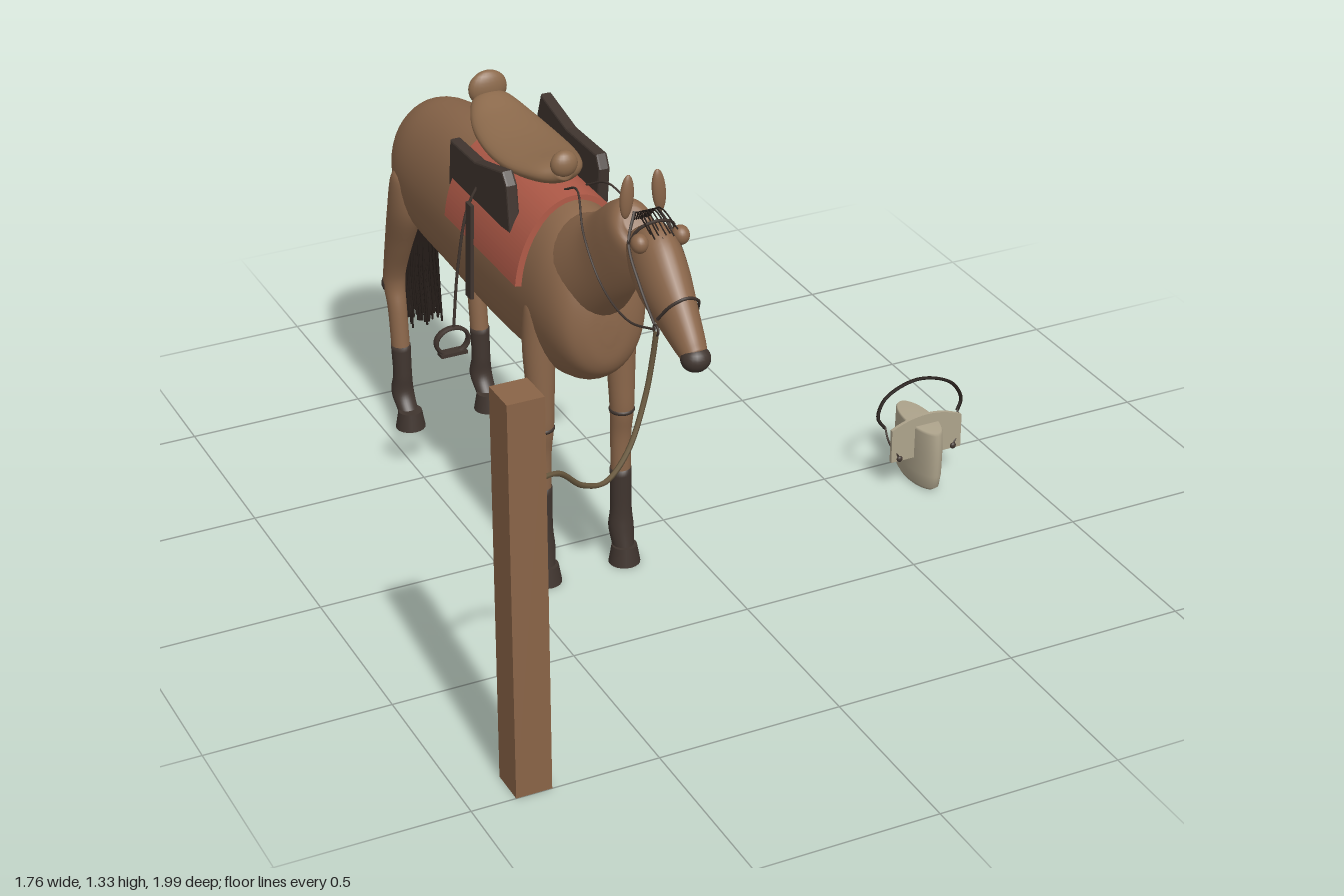
import * as THREE from 'three';

const mat = (name, color) => Object.assign(new THREE.MeshStandardMaterial({ color }), { name });
const COAT = mat('coat brown', 0x8a664a);
const SADDLE = mat('saddle tan', 0x8c6a4c);
const WOOD = mat('post wood', 0x8a6447);
const DARK = mat('dark leather', 0x40352f);
const HAIR = mat('black hair', 0x241c18);
const RED = mat('blanket red', 0xb05a48);
const CANVAS = mat('bucket canvas', 0xaea48c);
const ROPE = mat('rope', 0x6a5a40);

const V = (x, y, z) => new THREE.Vector3(x, y, z);

function add(parent, name, geometry, material, x = 0, y = 0, z = 0) {
  const m = new THREE.Mesh(geometry, material);
  m.name = name;
  m.position.set(x, y, z);
  parent.add(m);
  return m;
}

function ball(parent, name, material, x, y, z, rx, ry, rz) {
  const m = add(parent, name, new THREE.SphereGeometry(1, 20, 14), material, x, y, z);
  m.scale.set(rx, ry, rz);
  return m;
}

function tube(parent, name, material, pts, r, seg = 24) {
  const curve = new THREE.CatmullRomCurve3(pts.map(p => V(...p)));
  return add(parent, name, new THREE.TubeGeometry(curve, seg, r, 6), material);
}

// Smooth skin over elliptical rings [y, z, rx, rn]; rings follow the path unless an axis is fixed
function loft(rows, axis = null, steps = 36, n = 32) {
  const path = new THREE.CatmullRomCurve3(rows.map(r => V(0, r[0], r[1])), false, 'catmullrom', 0.5);
  const size = new THREE.CatmullRomCurve3(rows.map(r => V(r[2], r[3], 0)), false, 'catmullrom', 0.5);
  const X = V(1, 0, 0), pos = [], idx = [];
  for (let i = 0; i <= steps; i++) {
    const c = path.getPoint(i / steps), s = size.getPoint(i / steps);
    const N = (axis || path.getTangent(i / steps)).clone().cross(X);
    for (let j = 0; j < n; j++) {
      const a = j / n * Math.PI * 2;
      const p = c.clone().addScaledVector(X, Math.cos(a) * s.x).addScaledVector(N, Math.sin(a) * s.y);
      pos.push(p.x, p.y, p.z);
    }
  }
  for (let i = 0; i < steps; i++) for (let j = 0; j < n; j++) {
    const k = (j + 1) % n, a = i * n + j, b = i * n + k;
    idx.push(a, b, b + n, a, b + n, a + n);
  }
  for (let j = 1; j < n - 1; j++) {
    const e = steps * n;
    idx.push(0, j + 1, j, e, e + j, e + j + 1);
  }
  const g = new THREE.BufferGeometry();
  g.setAttribute('position', new THREE.Float32BufferAttribute(pos, 3));
  g.setIndex(idx);
  g.computeVertexNormals();
  return g;
}

function group(parent, name, x = 0, y = 0, z = 0) {
  const g = new THREE.Group();
  g.name = name;
  g.position.set(x, y, z);
  parent.add(g);
  return g;
}

function buildLeg(horse, name, x, upper, lower, joint, hoofZ) {
  const leg = group(horse, name, x);
  const down = V(0, -1, 0);
  add(leg, 'upperLeg', loft(upper, down), COAT);
  add(leg, 'legWrap', loft(lower, down, 20), DARK);
  ball(leg, 'jointPatch', DARK, 0, ...joint);
  add(leg, 'hoof', new THREE.CylinderGeometry(0.034, 0.043, 0.052, 20), DARK, 0, 0.026, hoofZ);
}

function buildHorse(root) {
  const horse = group(root, 'horse', -0.3);
  add(horse, 'body', loft([
    [0.80, 0.308, 0.02, 0.03], [0.80, 0.30, 0.07, 0.10], [0.82, 0.27, 0.115, 0.165],
    [0.832, 0.2, 0.14, 0.217], [0.835, 0.08, 0.15, 0.245], [0.825, -0.2, 0.155, 0.25],
    [0.825, -0.5, 0.157, 0.235], [0.815, -0.7, 0.155, 0.215], [0.81, -0.8, 0.142, 0.192],
    [0.83, -0.85, 0.115, 0.135], [0.83, -0.866, 0.06, 0.06]], V(0, 0, -1), 60, 40), COAT);
  add(horse, 'neck', loft([[0.86, 0.12, 0.12, 0.13], [0.92, 0.18, 0.118, 0.142], [1.02, 0.31, 0.082, 0.115],
    [1.12, 0.405, 0.066, 0.092], [1.165, 0.445, 0.055, 0.07], [1.18, 0.462, 0.03, 0.035]]), COAT);

  // Head with muzzle, eyes and ears
  add(horse, 'head', loft([[1.17, 0.495, 0.03, 0.03], [1.155, 0.515, 0.05, 0.07], [1.13, 0.56, 0.062, 0.096],
    [1.08, 0.62, 0.062, 0.092], [1.03, 0.69, 0.05, 0.07], [0.98, 0.76, 0.038, 0.045],
    [0.96, 0.79, 0.03, 0.03]]), COAT);
  ball(horse, 'muzzle', DARK, 0, 0.958, 0.788, 0.038, 0.033, 0.035);
  for (const s of [-1, 1]) {
    ball(horse, 'eye', COAT, s * 0.055, 1.19, 0.595, 0.022, 0.025, 0.024);
    const ear = ball(horse, 'ear', COAT, s * 0.043, 1.27, 0.5, 0.018, 0.058, 0.012);
    ear.rotation.z = s * 0.08;
  }

  // Legs
  for (const s of [-1, 1]) {
    buildLeg(horse, 'frontLeg', s * 0.115, [[0.84, 0.12, 0.015, 0.015], [0.81, 0.12, 0.036, 0.038],
      [0.7, 0.12, 0.043, 0.042], [0.55, 0.128, 0.036, 0.035], [0.46, 0.13, 0.032, 0.032],
      [0.38, 0.122, 0.028, 0.027], [0.26, 0.12, 0.027, 0.026]],
      [[0.28, 0.12, 0.029, 0.028], [0.16, 0.12, 0.029, 0.028], [0.1, 0.12, 0.034, 0.034],
        [0.04, 0.135, 0.028, 0.03]], [0.462, 0.13, 0.035, 0.015, 0.035], 0.14);
    buildLeg(horse, 'hindLeg', s * 0.122, [[0.83, -0.75, 0.02, 0.03], [0.8, -0.75, 0.04, 0.057],
      [0.7, -0.768, 0.045, 0.066], [0.58, -0.82, 0.037, 0.053], [0.48, -0.86, 0.032, 0.038],
      [0.42, -0.872, 0.031, 0.034], [0.35, -0.855, 0.027, 0.029], [0.21, -0.838, 0.026, 0.027]],
      [[0.24, -0.84, 0.028, 0.029], [0.15, -0.835, 0.027, 0.026], [0.09, -0.84, 0.032, 0.033],
        [0.04, -0.8, 0.028, 0.03]], [0.42, -0.88, 0.034, 0.034, 0.03], -0.787);
  }

  // Tail: fanned strands over a tapering dock
  let seed = 7;
  const rand = () => (seed = (seed * 16807) % 2147483647) / 2147483647;
  const tail = group(horse, 'tail');
  add(tail, 'dock', loft([[0.785, -0.86, 0.018, 0.012], [0.76, -0.915, 0.028, 0.016],
    [0.65, -0.955, 0.042, 0.016], [0.5, -0.975, 0.046, 0.012], [0.4, -0.975, 0.03, 0.004]]), HAIR);
  for (let i = 0; i < 44; i++) {
    const x = -0.058 + 0.116 * i / 43, d = (rand() - 0.5) * 0.022;
    tube(tail, 'tailStrand', HAIR, [[x * 0.35, 0.785, -0.87], [x * 0.55, 0.755, -0.92 + d * 0.5],
      [x * 0.9, 0.58, -0.97 + d], [x, 0.4, -0.977 + d], [x + d * 0.3, 0.21 + rand() * 0.08, -0.962]], 0.0032, 16);
  }
  // Forelock
  for (let i = 0; i < 8; i++) {
    const x = -0.03 + i * 0.0086;
    tube(horse, 'forelock', HAIR, [[x * 0.6, 1.2, 0.49], [x, 1.24, 0.53], [x * 1.2, 1.2 + rand() * 0.02, 0.62]], 0.002, 8);
  }
  return horse;
}

function buildTack(horse) {
  // Saddle blanket wrapped over the back
  const a = 0.14, sheet = new THREE.Shape();
  sheet.absellipse(0, 0, 0.17, 0.258, a, Math.PI - a, false);
  sheet.absellipse(0, 0, 0.152, 0.24, Math.PI - a, a, true);
  add(horse, 'blanket', new THREE.ExtrudeGeometry(sheet, { depth: 0.46, bevelEnabled: false, curveSegments: 32 }),
    RED, 0, 0.834, -0.36);

  // Saddle seat, pommel and cantle
  add(horse, 'saddleSeat', loft([[1.135, 0.05, 0.02, 0.02], [1.12, 0, 0.07, 0.032], [1.107, -0.1, 0.1, 0.033],
    [1.104, -0.22, 0.105, 0.033], [1.115, -0.34, 0.09, 0.034], [1.14, -0.42, 0.06, 0.03],
    [1.15, -0.45, 0.03, 0.02]]), SADDLE);
  ball(horse, 'pommel', SADDLE, 0, 1.155, 0.04, 0.037, 0.036, 0.026);
  ball(horse, 'cantle', SADDLE, 0, 1.172, -0.445, 0.055, 0.05, 0.025);

  const flap = new THREE.Shape([[0, 0.98], [-0.385, 0.97], [-0.39, 1.0], [-0.36, 1.12], [-0.2, 1.105],
    [-0.02, 1.13], [0, 1.1]].map(p => new THREE.Vector2(-p[0], p[1] - 1.05)));
  for (const s of [-1, 1]) {
    // Flap
    const f = add(horse, 'saddleFlap', new THREE.ExtrudeGeometry(flap, {
      depth: 0.02, bevelSize: 0.005, bevelThickness: 0.006, bevelSegments: 2 }).translate(0, 0, -0.01),
      DARK, s * 0.127, 1.05, 0);
    f.rotation.set(0, Math.PI / 2, -s * -0.12);
    // Stirrup leather and hanging line
    const strap = add(horse, 'stirrupLeather', new THREE.BoxGeometry(0.01, 0.27, 0.034), DARK, s * 0.172, 0.845, -0.185);
    strap.rotation.z = s * 0.03;
    tube(horse, 'stirrupLine', DARK, [[s * 0.11, 1.06, -0.2], [s * 0.165, 0.97, -0.2], [s * 0.2, 0.8, -0.2],
      [s * 0.218, 0.62, -0.2]], 0.004);
    // Stirrup iron with tread
    const iron = add(horse, 'stirrupIron', new THREE.TorusGeometry(0.046, 0.006, 8, 28), DARK, s * 0.222, 0.582, -0.203);
    iron.scale.set(1, 0.82, 2);
    add(horse, 'stirrupTread', new THREE.BoxGeometry(0.075, 0.01, 0.03), DARK, s * 0.222, 0.547, -0.203);
    // Bridle cheek strap, bit ring and rein
    tube(horse, 'cheekStrap', DARK, [[s * 0.03, 1.235, 0.515], [s * 0.062, 1.17, 0.55], [s * 0.066, 1.09, 0.62],
      [s * 0.054, 1.0, 0.685]], 0.004);
    add(horse, 'bitRing', new THREE.TorusGeometry(0.013, 0.003, 6, 16), DARK, s * 0.056, 1.0, 0.687)
      .rotation.y = Math.PI / 2;
    tube(horse, 'rein', DARK, [[s * 0.056, 1.0, 0.687], [s * 0.075, 0.975, 0.57], [s * 0.085, 1.01, 0.45],
      [s * 0.08, 1.1, 0.33], [s * 0.045, 1.165, 0.22], [s * 0.03, 1.12, 0.11]], 0.003, 36);
  }
  // Brow band and nose band over the face
  tube(horse, 'browBand', DARK, [[-0.062, 1.17, 0.55], [-0.045, 1.215, 0.57], [0, 1.232, 0.58],
    [0.045, 1.215, 0.57], [0.062, 1.17, 0.55]], 0.004);
  tube(horse, 'noseBand', DARK, [[-0.054, 1.03, 0.69], [-0.035, 1.08, 0.728], [0, 1.096, 0.738],
    [0.035, 1.08, 0.728], [0.054, 1.03, 0.69]], 0.004);
}

function buildBucket(root) {
  const bucket = group(root, 'feedBucket', 0.743, 0, 0.095);
  // Flattened pail
  const profile = [[0, 0], [0.085, 0], [0.1, 0.012], [0.108, 0.05], [0.11, 0.12], [0.108, 0.18], [0.102, 0.187], [0, 0.187]];
  add(bucket, 'pail', new THREE.LatheGeometry(profile.map(p => new THREE.Vector2(...p)), 36), CANVAS).scale.x = 0.38;
  // Cross panel with an arched top
  const panel = new THREE.Shape();
  panel.moveTo(-0.11, 0.09);
  panel.lineTo(0.11, 0.09);
  panel.lineTo(0.11, 0.19);
  panel.quadraticCurveTo(0, 0.245, -0.11, 0.19);
  add(bucket, 'crossPanel', new THREE.ExtrudeGeometry(panel, { depth: 0.01, bevelEnabled: false }), CANVAS, 0, 0, 0.033);
  // Handle with its side cords
  tube(bucket, 'handle', HAIR, [[-0.115, 0.185, 0.01], [-0.132, 0.215, 0], [-0.105, 0.265, -0.01], [0, 0.299, -0.015],
    [0.105, 0.265, -0.01], [0.132, 0.215, 0], [0.115, 0.185, 0.01]], 0.005, 40);
  for (const s of [-1, 1]) {
    tube(bucket, 'handleCord', DARK, [[s * 0.115, 0.19, 0.01], [s * 0.112, 0.15, 0.03], [s * 0.085, 0.1, 0.045]], 0.003);
    ball(bucket, 'rivet', DARK, s * 0.085, 0.098, 0.045, 0.009, 0.009, 0.006);
  }
}

export function createModel() {
  const root = new THREE.Group();
  root.name = 'tetheredHorse';
  buildTack(buildHorse(root));
  // Hitching post and lead rope
  add(root, 'post', new THREE.BoxGeometry(0.095, 1.08, 0.1), WOOD, -0.835, 0.54, 0.95);
  tube(root, 'leadRope', ROPE, [[-0.8, 0.81, 0.92], [-0.7, 0.785, 0.865], [-0.61, 0.7, 0.81], [-0.53, 0.668, 0.77],
    [-0.45, 0.71, 0.725], [-0.385, 0.82, 0.685], [-0.362, 0.92, 0.68], [-0.355, 1.0, 0.688]], 0.007, 60);
  buildBucket(root);
  return root;
}
